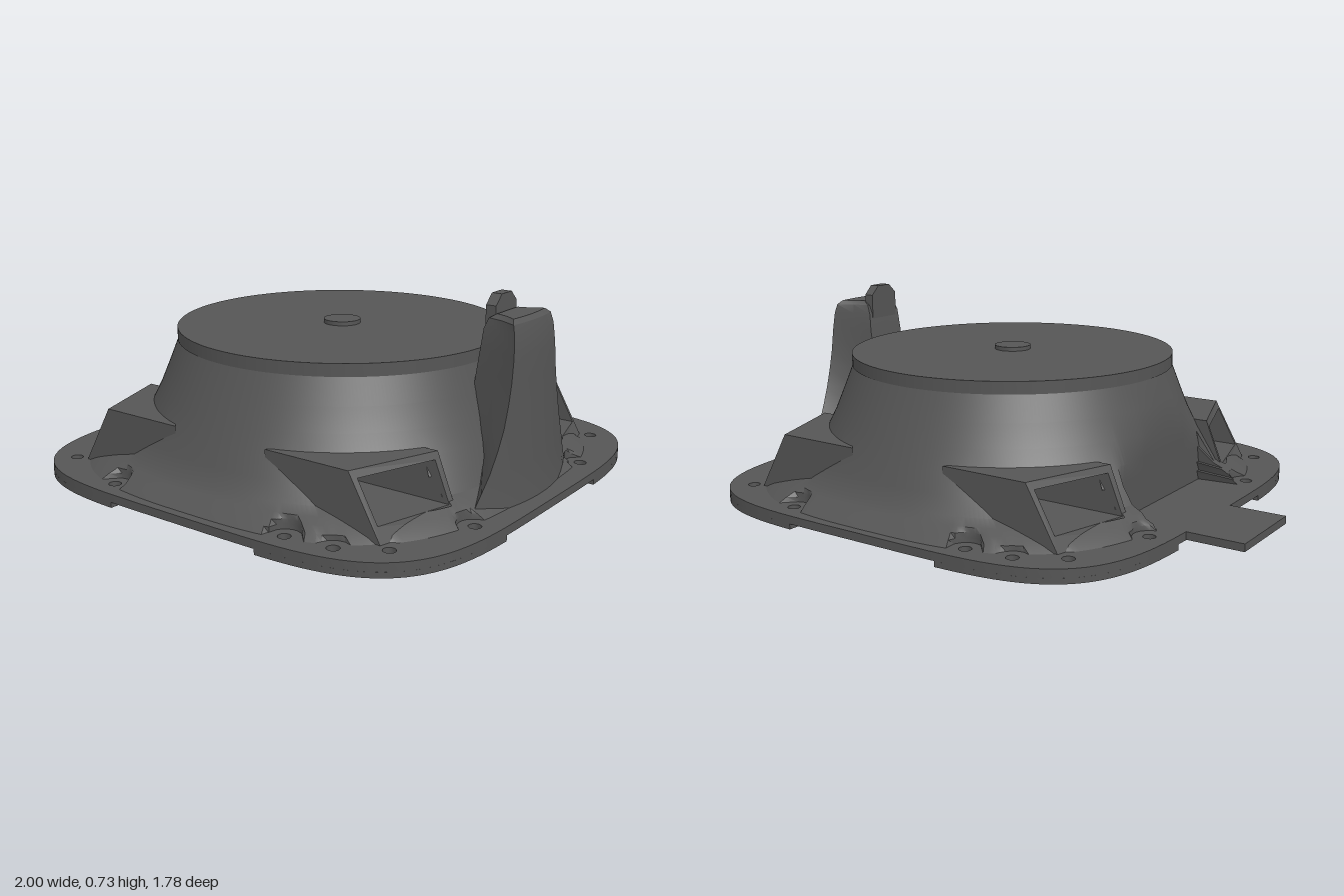
import * as THREE from 'three';
import { toCreasedNormals } from 'three/addons/utils/BufferGeometryUtils.js';

const CX = 0.103;
const material = new THREE.MeshStandardMaterial({ color: 0x555555, side: THREE.DoubleSide });

// bolt hole centres (x, z)
const HOLES = [[-0.45, -0.79], [0.655, 0.79]];
for (const s of [-1, 1]) {
  for (const [x, z] of [[-0.6, 0.7], [0.8, 0.7], [-0.71, 0.38], [0.91, 0.38], [-0.28, 0.81], [0.48, 0.81]]) HOLES.push([x, s * z]);
}

function addMesh(group, geometry, name) {
  const mesh = new THREE.Mesh(geometry, material);
  mesh.name = name;
  group.add(mesh);
  return mesh;
}

function box(group, name, x0, x1, y0, y1, z0, z1) {
  addMesh(group, new THREE.BoxGeometry(x1 - x0, y1 - y0, z1 - z0), name)
    .position.set((x0 + x1) / 2, (y0 + y1) / 2, (z0 + z1) / 2);
}

// point on a superellipse in the direction t
function squircle(t, a, b, n) {
  const c = Math.cos(t), s = Math.sin(t);
  const r = Math.pow(Math.pow(Math.abs(c) / a, n) + Math.pow(Math.abs(s) / b, n), -1 / n);
  return [r * c, r * s];
}

// skin over closed rings listed from top to bottom
function loft(rings, skip = () => false) {
  const m = rings[0].length, index = [];
  for (let i = 0; i < rings.length - 1; i++) {
    for (let j = 0; j < m; j++) {
      const k = (j + 1) % m;
      const mid = rings[i][j].clone().add(rings[i + 1][k]).multiplyScalar(0.5);
      if (skip(mid)) continue;
      const a = i * m + j, b = i * m + k;
      index.push(a, b, a + m, b, b + m, a + m);
    }
  }
  const g = new THREE.BufferGeometry().setFromPoints(rings.flat());
  g.setIndex(index);
  return toCreasedNormals(g, 0.5);
}

// flat plate in x/z with bolt holes, between two heights
function plate(points, holes, y0, y1) {
  const shape = new THREE.Shape(points.map(([x, z]) => new THREE.Vector2(x, -z)));
  for (const [x, z] of holes) {
    const h = new THREE.Path();
    h.absarc(x, -z, 0.022, 0, Math.PI * 2, true);
    shape.holes.push(h);
  }
  const g = new THREE.ExtrudeGeometry(shape, { depth: y1 - y0, bevelEnabled: false, curveSegments: 10 });
  g.rotateX(-Math.PI / 2).translate(0, y0, 0);
  return toCreasedNormals(g, 0.5);
}

function outline(t, scale = 1) {
  const [x, z] = squircle(t, 0.892, 0.892, 4.4);
  return [CX + x * scale, z * scale];
}

function quads(list) {
  const pts = [];
  for (const [a, b, c, d] of list) pts.push(a, b, c, a, c, d);
  const g = new THREE.BufferGeometry().setFromPoints(pts);
  g.computeVertexNormals();
  return g;
}

// domed housing: round at the top, squarish at the foot
function bodyGeometry() {
  const rows = [
    [0.49, 0.605, 0.605, 2], [0.4, 0.637, 0.645, 2], [0.32, 0.667, 0.682, 2], [0.24, 0.7, 0.717, 2.05],
    [0.18, 0.722, 0.745, 2.2], [0.12, 0.745, 0.772, 2.4], [0.1, 0.77, 0.797, 2.6],
    [0.085, 0.785, 0.815, 2.75], [0.068, 0.803, 0.838, 2.9], [0.048, 0.822, 0.862, 3],
  ];
  const N = 320;
  const rings = rows.map(([y, a, b, n]) => Array.from({ length: N }, (_, j) => {
    const t = j / N * Math.PI * 2, c = Math.cos(t), s = Math.sin(t);
    const [px, pz] = squircle(t, a, b, n);
    let r = Math.hypot(px, pz);
    // round clearance cut beside each bolt hole
    for (const [hx, hz] of HOLES) {
      const along = (hx - CX) * c + hz * s, across = (hx - CX) * s - hz * c;
      if (along > 0 && Math.abs(across) < 0.058) r = Math.min(r, along - Math.sqrt(0.058 ** 2 - across ** 2));
    }
    let x = CX + r * c;
    // flat recess above the side tab
    if (Math.abs(r * s) < 0.305) x = Math.max(x, -0.55);
    return new THREE.Vector3(x, y, r * s);
  }));
  return loft(rings, p => p.y > 0.1 && p.y < 0.24 && Math.abs(p.z) > 0.38 && Math.abs(p.z) < 0.67);
}

// corner window frames joined by a straight passage, for one z side
function windowPassage(group, sz) {
  const faceX = (y, z) => {
    const v = (y - 0.09) / 0.175, u = (z - 0.36) / 0.33;
    return (1 - u) * (0.72 - 0.07 * v) + u * (0.633 - 0.1 * v);
  };
  const ring = (sx, y0, y1, z0, z1) => [[y0, z0], [y0, z1], [y1, z1], [y1, z0]]
    .map(([y, z]) => new THREE.Vector3(CX + sx * faceX(y, z), y, sz * z));
  const mouths = [];
  for (const sx of [-1, 1]) {
    const outer = ring(sx, 0.048, 0.265, 0.36, 0.69), inner = ring(sx, 0.1, 0.24, 0.38, 0.67);
    const back = outer.map((p, i) => new THREE.Vector3(CX + sx * (i === 0 || i === 3 ? 0.5 : 0.2), p.y, p.z));
    mouths.push(inner);
    const list = [];
    for (let i = 0; i < 4; i++) {
      const k = (i + 1) % 4;
      list.push([outer[i], outer[k], inner[k], inner[i]], [outer[i], outer[k], back[k], back[i]]);
    }
    addMesh(group, quads(list), 'windowFrame');
  }
  const walls = [0, 1, 2, 3].map(i => [mouths[0][i], mouths[0][(i + 1) % 4], mouths[1][(i + 1) % 4], mouths[1][i]]);
  addMesh(group, quads(walls), 'windowPassage');
}

// upright fin, flaring toward its foot: y, inner x, outer x, inner and outer half width
function finGeometry() {
  const rows = [
    [0.67, 0.835, 0.836, 0, 0], [0.67, 0.79, 0.88, 0.07, 0.11], [0.655, 0.765, 0.895, 0.08, 0.13],
    [0.62, 0.75, 0.905, 0.085, 0.137], [0.55, 0.742, 0.912, 0.09, 0.145], [0.47, 0.73, 0.915, 0.09, 0.155],
    [0.4, 0.72, 0.918, 0.09, 0.17], [0.32, 0.72, 0.922, 0.095, 0.193], [0.25, 0.72, 0.925, 0.1, 0.222],
    [0.18, 0.72, 0.929, 0.1, 0.257], [0.12, 0.72, 0.932, 0.1, 0.293], [0.048, 0.72, 0.94, 0.1, 0.34],
  ];
  return loft(rows.map(([y, xi, xo, hi, w]) => {
    const R = xo - CX, pts = [];
    const arcX = z => CX + Math.sqrt(R * R - z * z);
    const side = s => [[xi, s * hi], [(xi + arcX(w)) / 2, s * (hi + 0.35 * (w - hi))]];
    pts.push(...side(-1));
    for (let k = 0; k <= 12; k++) {
      const z = w * (k / 6 - 1);
      pts.push([arcX(z), z]);
    }
    pts.push(...side(1).reverse());
    return pts.map(([x, z]) => new THREE.Vector3(x, y, z));
  }));
}

export function createModel() {
  const group = new THREE.Group();
  group.name = 'housingCover';

  // flange
  const rim = Array.from({ length: 160 }, (_, i) => outline(i / 160 * Math.PI * 2));
  addMesh(group, plate(rim, HOLES, 0.02, 0.05), 'flange');

  // raised pads under the four corners
  for (let q = 0; q < 4; q++) {
    const t0 = q * Math.PI / 2 + 0.345, t1 = (q + 1) * Math.PI / 2 - 0.345;
    const pts = [];
    for (let i = 0; i <= 30; i++) pts.push(outline(t0 + (t1 - t0) * i / 30));
    for (let i = 30; i >= 0; i--) pts.push(outline(t0 + 0.05 + (t1 - t0 - 0.1) * i / 30, 0.86));
    const sx = q === 0 || q === 3 ? 1 : -1, sz = q < 2 ? 1 : -1;
    const holes = HOLES.filter(([x, z]) => (x - CX) * sx > 0 && z * sz > 0);
    addMesh(group, plate(pts, holes, 0, 0.02), 'cornerPad');
  }

  // side tab
  box(group, 'sideTab', -1, -0.75, 0.022, 0.05, -0.27, 0.07);

  // housing with its window passages
  addMesh(group, bodyGeometry(), 'housing');
  windowPassage(group, 1);
  windowPassage(group, -1);

  // round cap and centre button
  addMesh(group, new THREE.CylinderGeometry(0.608, 0.608, 0.045, 96), 'cap').position.set(CX, 0.5125, 0);
  addMesh(group, new THREE.CylinderGeometry(0.068, 0.068, 0.02, 40), 'capButton').position.set(CX, 0.54, 0);

  // fin and the chamfered tongue on top of it
  addMesh(group, finGeometry(), 'fin');
  const tongue = new THREE.Shape([[-0.07, 0.6], [0.07, 0.6], [0.07, 0.695], [0.033, 0.73], [-0.033, 0.73], [-0.07, 0.695]]
    .map(([x, y]) => new THREE.Vector2(x, y)));
  const tongueGeometry = new THREE.ExtrudeGeometry(tongue, { depth: 0.038, bevelEnabled: false });
  tongueGeometry.rotateY(Math.PI / 2).translate(0.747, 0, 0);
  addMesh(group, tongueGeometry, 'finTongue');

  return group;
}
